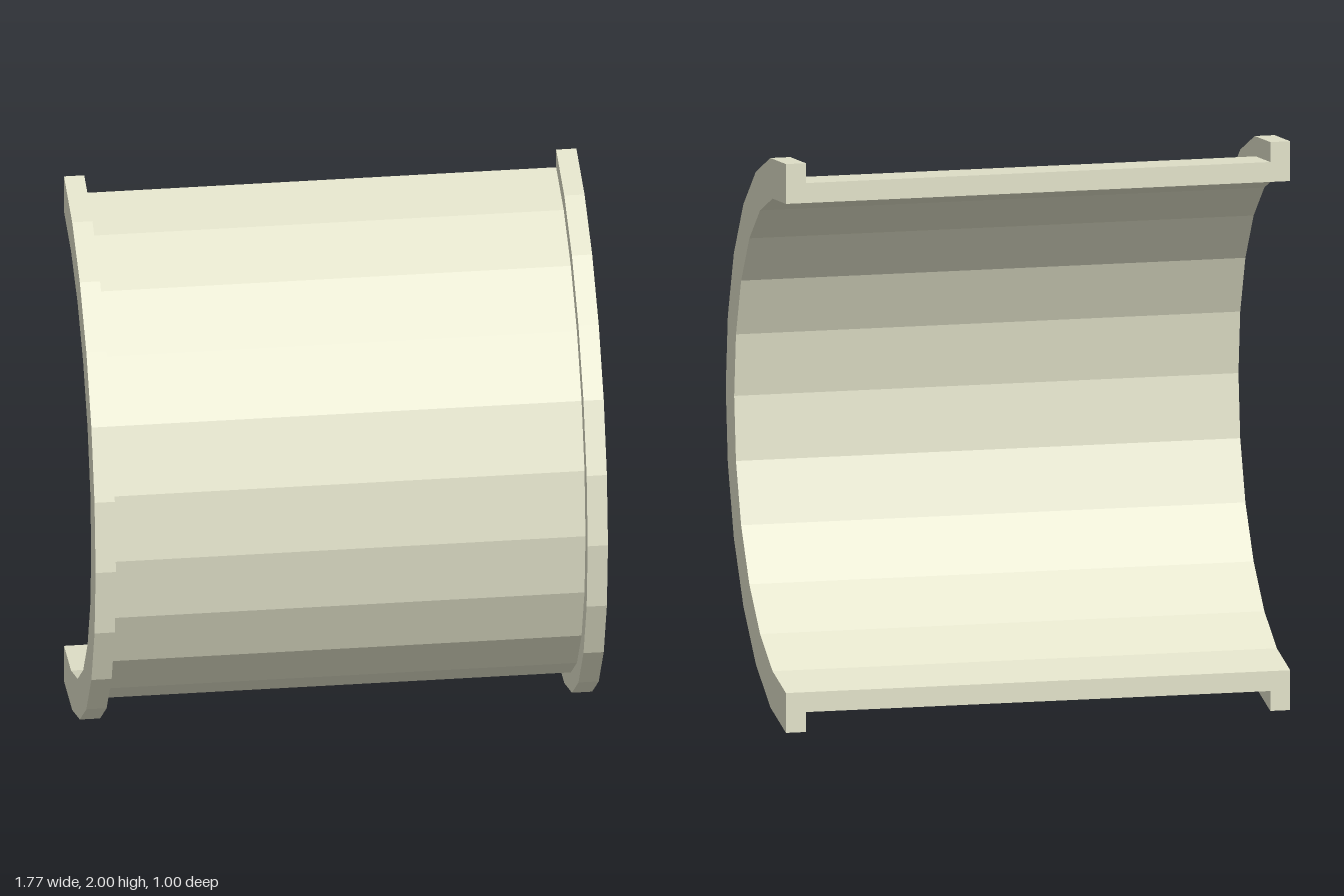
import * as THREE from 'three';

export function createModel() {
  const model = new THREE.Group();
  model.name = 'halfSleeve';
  const material = new THREE.MeshStandardMaterial({ color: 0xe4e4cc, flatShading: true });

  const inner = 0.86, shell = 0.93, rim = 1;   // radii
  const end = 0.885, step = 0.815;             // half lengths of sleeve and of the space between flanges

  // Wall cross-section (radius, position along the axis), with a flange at both ends
  const profile = [
    [inner, -end], [rim, -end], [rim, -step], [shell, -step],
    [shell, step], [rim, step], [rim, end], [inner, end],
  ].map(([r, a]) => new THREE.Vector2(r, a));

  const add = (name, geometry) => {
    geometry.rotateZ(-Math.PI / 2);            // lay the axis along x
    geometry.translate(0, 1, -0.5);
    const mesh = new THREE.Mesh(geometry, material);
    mesh.name = name;
    model.add(mesh);
  };

  // Half-round wall with its two flanges, opening to the back
  const wall = new THREE.LatheGeometry([...profile, profile[0]], 12, -Math.PI / 2, Math.PI).toNonIndexed();
  wall.computeVertexNormals();
  add('flangedWall', wall);

  // Flat cut faces along the lower and upper edges
  const section = new THREE.Shape(profile);
  add('lowerCutFace', new THREE.ShapeGeometry(section).rotateX(Math.PI));
  add('upperCutFace', new THREE.ShapeGeometry(section).rotateY(Math.PI));

  return model;
}
